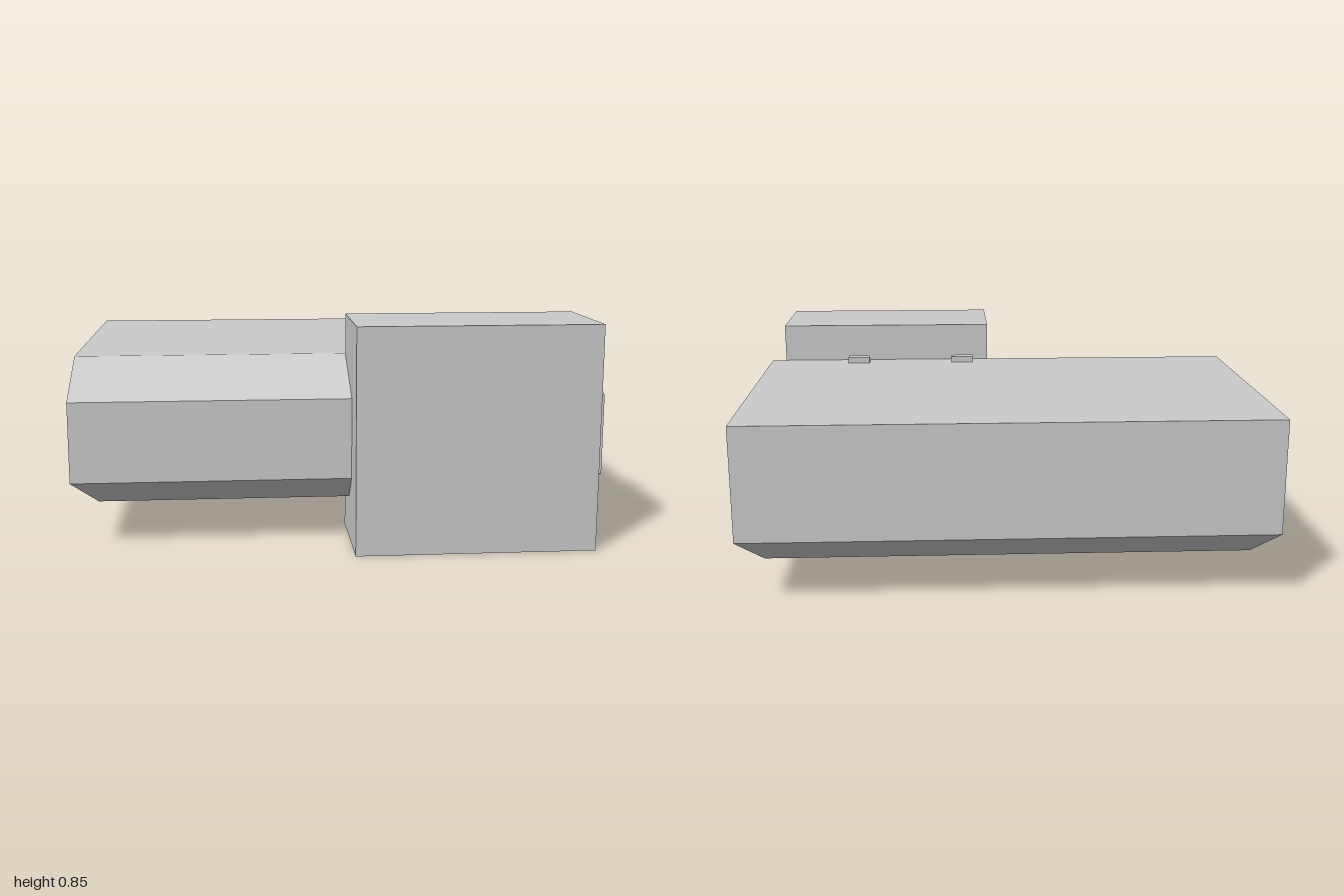
import * as THREE from 'three';
import { ConvexGeometry } from 'three/addons/geometries/ConvexGeometry.js';

const material = new THREE.MeshStandardMaterial({ color: 0xcccccc, flatShading: true });

// Box given by its minimum and maximum corners
function block(name, [x0, y0, z0], [x1, y1, z1]) {
  const mesh = new THREE.Mesh(new THREE.BoxGeometry(x1 - x0, y1 - y0, z1 - z0), material);
  mesh.position.set((x0 + x1) / 2, (y0 + y1) / 2, (z0 + z1) / 2);
  mesh.name = name;
  return mesh;
}

export function createModel() {
  const model = new THREE.Group();
  model.name = 'model';

  // Wide body: sloped front top edge, chamfer all round the underside
  const back = -0.793, front = 0.635, inset = 0.093;
  const outline = [ // half width, y, z
    [1, 0.69, back], [1, 0.69, 0.372], [1, 0.558, front],
    [1, 0.254, front], [1, 0.254, back],
    [1 - inset, 0.16, front - inset], [1 - inset, 0.16, back + inset],
  ];
  const corners = outline.flatMap(([x, y, z]) =>
    [-1, 1].map((side) => new THREE.Vector3(side * x, y, z)));
  const body = new THREE.Mesh(new ConvexGeometry(corners), material);
  body.name = 'body';
  model.add(body);

  // Tall block standing off-centre at the front
  model.add(block('frontBlock', [0.043, 0, 0.372], [0.94, 0.845, 0.793]));

  // Two small tabs on the top, just behind the block
  for (const x of [0.11, 0.565]) {
    model.add(block('tab', [x, 0.68, 0.295], [x + 0.093, 0.715, 0.337]));
  }

  return model;
}
